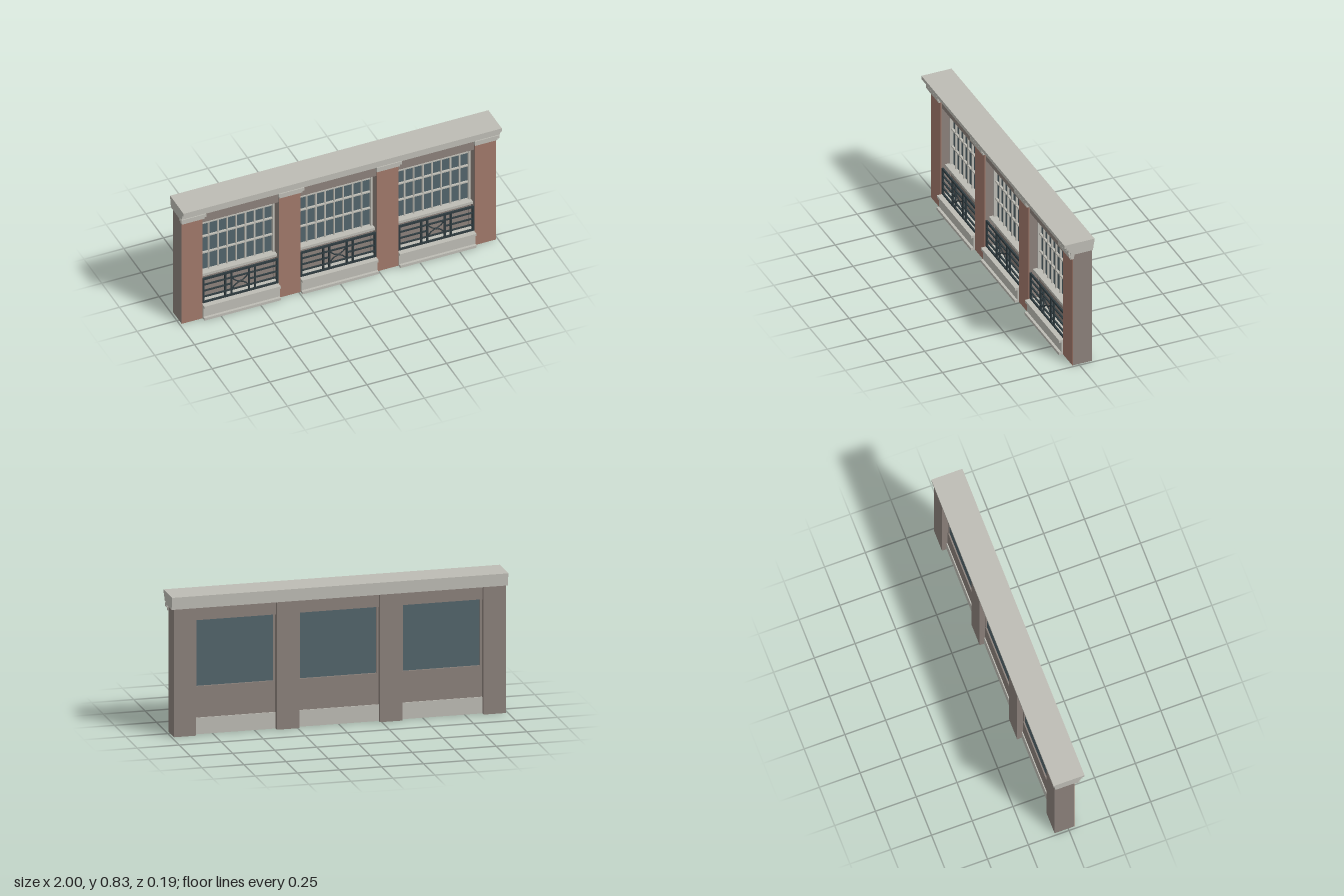
import * as THREE from 'three';

const mat = (name, color) => {
  const m = new THREE.MeshStandardMaterial({ color });
  m.name = name;
  return m;
};

export function createModel() {
  const brick = mat('brick', 0xa0786a);
  const stone = mat('stone', 0xbdbcb4);
  const wall = mat('wall', 0x8b817b);
  const glass = mat('glass', 0x52646b);
  const iron = mat('iron', 0x2f3b40);

  const root = new THREE.Group();
  root.name = 'facade';

  // Box given by its limits on each axis
  const box = (parent, name, m, x0, x1, y0, y1, z0, z1) => {
    const mesh = new THREE.Mesh(new THREE.BoxGeometry(x1 - x0, y1 - y0, z1 - z0), m);
    mesh.position.set((x0 + x1) / 2, (y0 + y1) / 2, (z0 + z1) / 2);
    mesh.name = name;
    parent.add(mesh);
    return mesh;
  };

  // Profile of [z, y] points extruded along x
  const moulding = (parent, name, points, width) => {
    const shape = new THREE.Shape(points.map(([z, y]) => new THREE.Vector2(-z, y)));
    const geo = new THREE.ExtrudeGeometry(shape, { depth: width, bevelEnabled: false });
    geo.translate(0, 0, -width / 2);
    geo.rotateY(Math.PI / 2);
    const mesh = new THREE.Mesh(geo, stone);
    mesh.name = name;
    parent.add(mesh);
  };

  // Stepped cornice over the full width
  moulding(root, 'cornice', [
    [-0.084, 0.76], [0.055, 0.76], [0.055, 0.775], [0.07, 0.775], [0.07, 0.797],
    [0.082, 0.797], [0.082, 0.813], [0.095, 0.813], [0.095, 0.835],
    [-0.095, 0.835], [-0.095, 0.813], [-0.09, 0.813], [-0.09, 0.797],
    [-0.087, 0.797], [-0.087, 0.775], [-0.084, 0.775],
  ], 2);

  // Four piers with brick fronts and two-step capitals
  for (const [x0, x1] of [[-0.987, -0.856], [-0.374, -0.24], [0.24, 0.374], [0.856, 0.987]]) {
    const pier = new THREE.Group();
    pier.name = 'pier';
    root.add(pier);
    box(pier, 'pierCore', wall, x0, x1, 0, 0.76, -0.084, 0.034);
    box(pier, 'brickFace', brick, x0, x1, 0, 0.745, 0.034, 0.039);
    box(pier, 'capitalUpper', stone, x0 - 0.012, x1 + 0.012, 0.745, 0.766, 0.03, 0.065);
    box(pier, 'capitalLower', stone, x0 - 0.005, x1 + 0.005, 0.725, 0.745, 0.03, 0.053);
  }

  // Iron railing with a pair of touching arcs in the middle
  const addRailing = (bay) => {
    const rail = new THREE.Group();
    rail.name = 'railing';
    bay.add(rail);
    const bar = (x0, x1, y0, y1) => box(rail, 'railBar', iron, x0, x1, y0, y1, 0.024, 0.034);
    bar(-0.236, 0.236, 0.266, 0.279);
    bar(-0.236, 0.236, 0.102, 0.113);
    bar(-0.236, 0.236, 0.227, 0.234);
    bar(-0.236, 0.236, 0.142, 0.149);
    for (const s of [-1, 1]) {
      const cx = s * 0.145;
      bar(cx - 0.091, cx + 0.091, 0.184, 0.191);
      for (const x of [0.231, 0.093, 0.055]) bar(s * x - 0.005, s * x + 0.005, 0.108, 0.272);
      const arc = new THREE.QuadraticBezierCurve3(
        new THREE.Vector3(-0.053, 0.188 + s * 0.042, 0.029),
        new THREE.Vector3(0, 0.188 - s * 0.036, 0.029),
        new THREE.Vector3(0.053, 0.188 + s * 0.042, 0.029));
      const mesh = new THREE.Mesh(new THREE.TubeGeometry(arc, 12, 0.004, 6), iron);
      mesh.name = 'railArc';
      rail.add(mesh);
    }
  };

  // Gridded window: glass, frame and glazing bars
  const addWindow = (bay) => {
    const win = new THREE.Group();
    win.name = 'window';
    bay.add(win);
    box(win, 'pane', glass, -0.228, 0.228, 0.285, 0.685, -0.042, -0.034);
    for (const s of [-1, 1]) {
      box(win, 'jamb', wall, s * 0.234 - 0.006, s * 0.234 + 0.006, 0.1, 0.69, -0.048, -0.016);
      box(win, 'frameSide', stone, s * 0.23 - 0.005, s * 0.23 + 0.005, 0.29, 0.682, -0.034, -0.014);
    }
    for (let i = 1; i < 8; i++) {
      const x = -0.23 + i * 0.0575;
      box(win, 'verticalBar', stone, x - 0.004, x + 0.004, 0.29, 0.68, -0.034, -0.022);
    }
    for (const y of [0.676, 0.632, 0.535, 0.418]) {
      box(win, 'horizontalBar', stone, -0.23, 0.23, y - 0.004, y + 0.004, -0.034, -0.021);
    }
    box(win, 'windowSill', stone, -0.24, 0.24, 0.279, 0.296, -0.034, 0.012);
  };

  // Three identical bays
  for (const x of [-0.615, 0, 0.615]) {
    const bay = new THREE.Group();
    bay.name = 'bay';
    bay.position.x = x;
    root.add(bay);
    box(bay, 'lintel', wall, -0.24, 0.24, 0.682, 0.76, -0.062, 0.03);
    box(bay, 'apronPanel', wall, -0.24, 0.24, 0.098, 0.284, -0.05, -0.022);
    moulding(bay, 'plinth', [
      [-0.056, 0], [0.065, 0], [0.065, 0.017], [0.049, 0.017],
      [0.049, 0.082], [0.063, 0.082], [0.063, 0.098], [-0.056, 0.098],
    ], 0.48);
    addWindow(bay);
    addRailing(bay);
  }
  return root;
}
